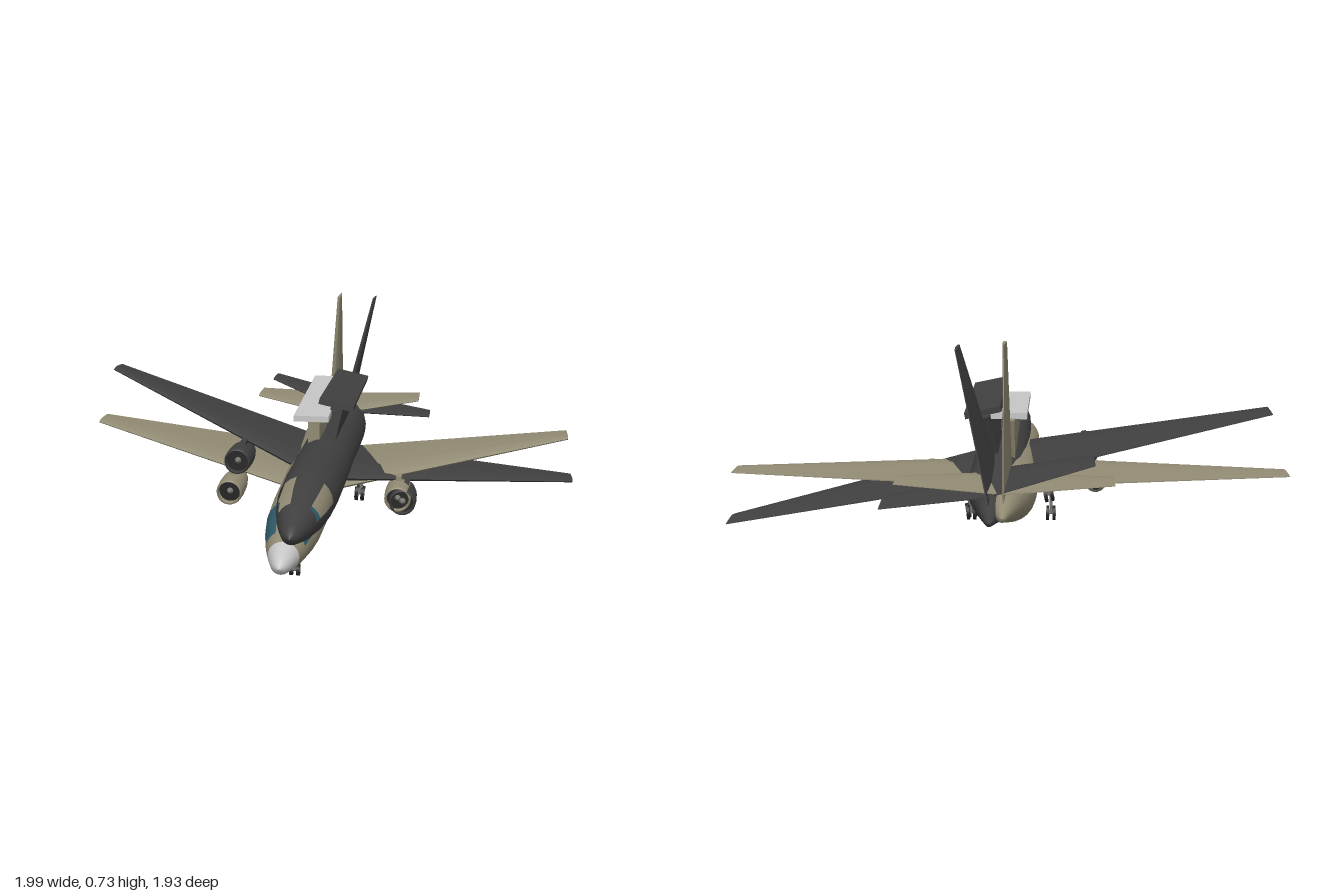
import * as THREE from 'three';
import { toCreasedNormals } from 'three/addons/utils/BufferGeometryUtils.js';

const mat = (name, color, side = THREE.FrontSide) => {
  const m = new THREE.MeshStandardMaterial({ color, side });
  m.name = name;
  return m;
};

const tan = mat('tan skin', 0x928b74, THREE.DoubleSide);
const charcoal = mat('charcoal skin', 0x404040, THREE.DoubleSide);
const lightGrey = mat('light grey', 0xc6c6c6);
const glass = mat('teal glass', 0x2f5c6b);
const rubber = mat('black rubber', 0x252525);
const metal = mat('strut metal', 0x77776f);

function add(parent, name, geometry, material, x = 0, y = 0, z = 0) {
  const mesh = new THREE.Mesh(geometry, material);
  mesh.name = name;
  mesh.position.set(x, y, z);
  parent.add(mesh);
  return mesh;
}

function indexed(positions, indices) {
  const g = new THREE.BufferGeometry();
  g.setAttribute('position', new THREE.Float32BufferAttribute(positions, 3));
  g.setIndex(indices);
  return g;
}

// Fuselage stations: z, radius, centre height
const STATIONS = [
  [0.965, 0.002, -0.018], [0.955, 0.018, -0.018], [0.93, 0.033, -0.017], [0.87, 0.052, -0.013],
  [0.82, 0.066, -0.009], [0.72, 0.086, -0.003], [0.63, 0.096, 0], [0.45, 0.102, 0],
  [0.1, 0.103, 0], [-0.45, 0.103, 0], [-0.55, 0.099, 0.003], [-0.7, 0.073, 0.012],
  [-0.85, 0.04, 0.015], [-0.962, 0.012, 0.013], [-0.965, 0.001, 0.013],
];

// Round body with a nose cone and side windows as material groups
function fuselageGeometry(openWindows) {
  const n = 24, pos = [], faces = [[], [], []];
  for (const [z, r, yc] of STATIONS) {
    for (let j = 0; j < n; j++) {
      const a = (j / n) * Math.PI * 2;
      pos.push(r * Math.sin(a), yc + r * Math.cos(a), z);
    }
  }
  for (let i = 0; i < STATIONS.length - 1; i++) {
    for (let j = 0; j < n; j++) {
      const fromTop = Math.min(j, n - 1 - j);
      const isWindow = (i === 4 || i === 5) && fromTop >= 2 && fromTop <= 4;
      const group = i < 3 ? 1 : isWindow ? 2 : 0;
      if (isWindow && openWindows) continue;
      const a = i * n + j, b = i * n + (j + 1) % n;
      faces[group].push(a, b, a + n, b, b + n, a + n);
    }
  }
  const g = indexed(pos, faces.flat());
  let start = 0;
  faces.forEach((f, k) => {
    if (f.length) g.addGroup(start, f.length, k);
    start += f.length;
  });
  g.computeVertexNormals();
  return g;
}

// Airfoil lofted along x; sections: x, y, leading z, trailing z, thickness
function panelGeometry(sections) {
  const foil = [[0, 0], [0.05, 0.3], [0.3, 0.5], [0.7, 0.3], [1, 0.06],
    [1, -0.06], [0.7, -0.3], [0.3, -0.5], [0.05, -0.3]];
  const n = foil.length, pos = [], idx = [];
  for (const [x, y, lead, trail, t] of sections) {
    for (const [c, h] of foil) pos.push(x, y + h * t, lead + (trail - lead) * c);
  }
  const last = (sections.length - 1) * n;
  for (let i = 0; i < last; i += n) {
    for (let j = 0; j < n; j++) {
      const a = i + j, b = i + (j + 1) % n;
      idx.push(a, a + n, b, b, a + n, b + n);
    }
  }
  for (let j = 1; j < n - 1; j++) {
    idx.push(0, j, j + 1, last, last + j + 1, last + j);
  }
  return toCreasedNormals(indexed(pos, idx), 0.5);
}

const mirrored = ([x, ...rest]) => [-x, ...rest];

function addEngine(parent, side, skin) {
  const engine = new THREE.Group();
  engine.name = side > 0 ? 'leftEngine' : 'rightEngine';
  engine.position.set(side * 0.322, -0.06, 0.07);
  const profile = [[0.03, -0.1], [0.042, -0.075], [0.05, -0.02], [0.052, 0.04], [0.05, 0.09],
    [0.046, 0.104], [0.042, 0.098], [0.041, 0.06]].map(([r, y]) => new THREE.Vector2(r, y));
  add(engine, 'nacelle', new THREE.LatheGeometry(profile, 24).rotateX(Math.PI / 2), skin);
  add(engine, 'fanDisc', new THREE.CylinderGeometry(0.042, 0.042, 0.01, 24).rotateX(Math.PI / 2), rubber, 0, 0, 0.07);
  add(engine, 'spinner', new THREE.ConeGeometry(0.014, 0.025, 16).rotateX(Math.PI / 2), metal, 0, 0, 0.085);
  add(engine, 'exhaust', new THREE.CylinderGeometry(0.029, 0.029, 0.008, 24).rotateX(Math.PI / 2), rubber, 0, 0, -0.095);
  add(engine, 'enginePylon', new THREE.BoxGeometry(0.02, 0.03, 0.14), skin, 0, 0.052, -0.04);
  parent.add(engine);
}

// Twin-wheel leg hanging from height top
function addGear(parent, name, x, z, axle, r, top) {
  const gear = new THREE.Group();
  gear.name = name;
  gear.position.set(x, axle, z);
  const h = top - axle;
  add(gear, 'strut', new THREE.CylinderGeometry(0.006, 0.006, h, 10), metal, 0, h / 2, 0);
  add(gear, 'axle', new THREE.CylinderGeometry(0.005, 0.005, 0.03, 10).rotateZ(Math.PI / 2), metal);
  for (const s of [-1, 1]) {
    add(gear, 'wheel', new THREE.CylinderGeometry(r, r, 0.011, 20).rotateZ(Math.PI / 2), rubber, s * 0.012);
    add(gear, 'hub', new THREE.CylinderGeometry(r * 0.45, r * 0.45, 0.013, 14).rotateZ(Math.PI / 2), metal, s * 0.012);
  }
  parent.add(gear);
}

function aircraft(name, skin, noseMat, slabMat, openWindows) {
  const g = new THREE.Group();
  g.name = name;
  add(g, 'fuselage', fuselageGeometry(openWindows), [skin, noseMat, glass]);

  // Wings, tailplane and fin
  const wingTip = [0.982, 0.052, -0.33, -0.452, 0.016];
  add(g, 'wings', panelGeometry([mirrored(wingTip), [0, -0.02, 0.25, -0.31, 0.05], wingTip]), skin);
  const tailTip = [0.356, 0.092, -0.69, -0.83, 0.012];
  add(g, 'tailplane', panelGeometry([mirrored(tailTip), [0, 0.07, -0.51, -0.87, 0.028], tailTip]), skin);
  const fin = panelGeometry([[0.04, 0, -0.37, -0.888, 0.036], [0.542, 0, -0.687, -0.826, 0.014]]);
  add(g, 'fin', fin.rotateZ(Math.PI / 2), skin);

  // Long slab carried above the back on a pylon
  add(g, 'dorsalSlab', new THREE.BoxGeometry(0.13, 0.022, 0.61), slabMat, 0, 0.254, -0.105);
  const side = new THREE.Shape([[0.125, 0.08], [0.125, 0.245], [-0.465, 0.245], [-0.405, 0.08]]
    .map(([z, y]) => new THREE.Vector2(-z, y)));
  const pylon = new THREE.ExtrudeGeometry(side, { depth: 0.045, bevelEnabled: false });
  add(g, 'dorsalPylon', pylon.translate(0, 0, -0.0225).rotateY(Math.PI / 2), skin);

  for (const s of [-1, 1]) {
    addEngine(g, s, skin);
    addGear(g, s > 0 ? 'leftMainGear' : 'rightMainGear', s * 0.15, -0.145, -0.154, 0.028, -0.01);
  }
  addGear(g, 'noseGear', 0, 0.625, -0.163, 0.02, -0.07);
  return g;
}

export function createModel() {
  const model = new THREE.Group();
  model.name = 'overlappingAircraft';

  // Level aircraft standing on its wheels
  const level = aircraft('levelAircraft', tan, lightGrey, lightGrey, false);
  level.position.set(-0.0175, 0.183, 0);

  // Banked, nose-up twin passing through it
  const banked = aircraft('bankedAircraft', charcoal, charcoal, charcoal, true);
  banked.position.set(0.02, 0.228, -0.005);
  banked.rotation.set(-0.06, 0, -0.21);

  model.add(level, banked);
  return model;
}
